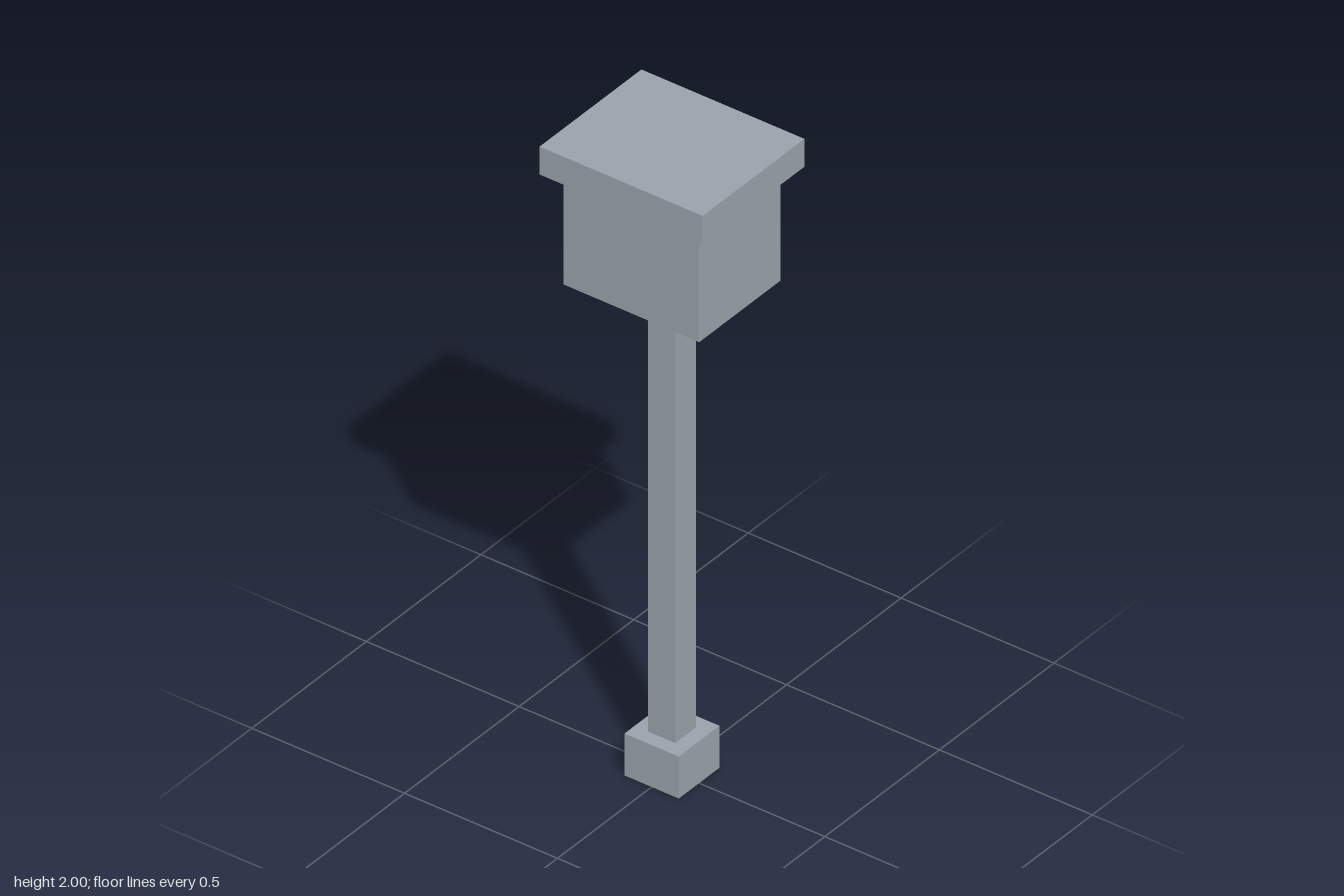
import * as THREE from 'three';

const UNIT = 2 / 45; // the model is 45 grid units tall

export function createModel() {
  const group = new THREE.Group();
  group.name = 'postBox';
  const grey = new THREE.MeshStandardMaterial({ color: 0x98a2aa });
  grey.name = 'blueGrey';

  // Stacked blocks from the ground up: name, width, height, depth
  const blocks = [
    ['base', 4, 3, 4],
    ['post', 2, 32, 2],
    ['box', 10, 8, 8],
    ['lid', 12, 2, 10],
  ];
  let y = 0;
  for (const [name, w, h, d] of blocks) {
    const mesh = new THREE.Mesh(new THREE.BoxGeometry(w * UNIT, h * UNIT, d * UNIT), grey);
    mesh.name = name;
    mesh.position.y = (y + h / 2) * UNIT;
    group.add(mesh);
    y += h;
  }
  return group;
}
